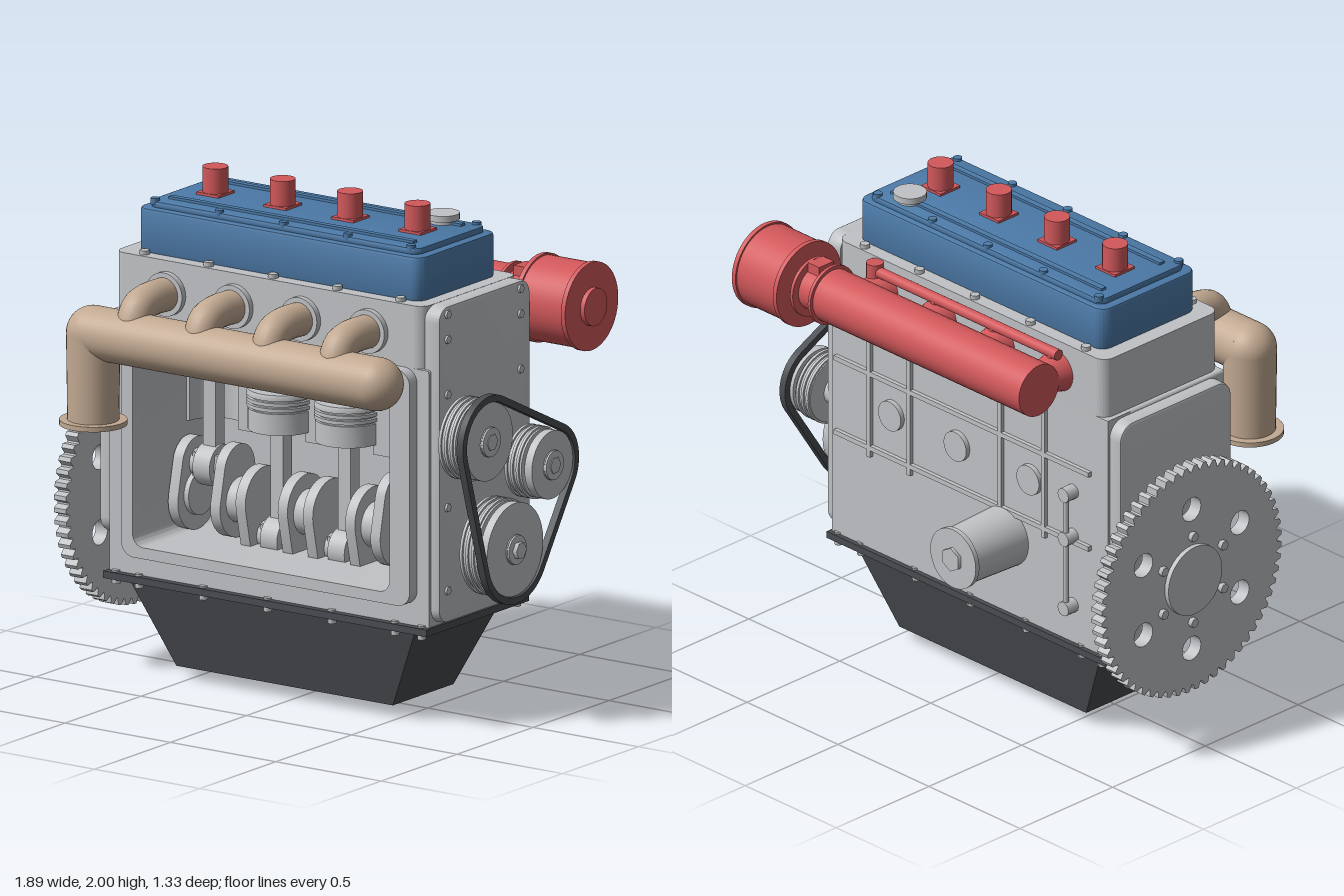
import * as THREE from 'three';
import { toCreasedNormals } from 'three/addons/utils/BufferGeometryUtils.js';

const material = (name, color) => {
  const m = new THREE.MeshStandardMaterial({ color });
  m.name = name;
  return m;
};

export function createModel() {
  const grey = material('cast grey', 0xc0c2c5), blue = material('cover blue', 0x4c7aa8);
  const red = material('intake red', 0xd2585b), tan = material('exhaust tan', 0xc2a992);
  const dark = material('dark steel', 0x494c51);
  const root = new THREE.Group();
  root.name = 'engine';
  const cylX = [-0.515, -0.195, 0.125, 0.445];
  const boltX = [-0.645, -0.34, -0.035, 0.27, 0.57];
  const crankY = 0.695;

  // Helpers
  const add = (name, mat, geo, x = 0, y = 0, z = 0) => {
    const m = new THREE.Mesh(geo, mat);
    m.name = name;
    m.position.set(x, y, z);
    root.add(m);
    return m;
  };
  // Box from min and max corners
  const box = (name, mat, x0, x1, y0, y1, z0, z1) => add(name, mat,
    new THREE.BoxGeometry(x1 - x0, y1 - y0, z1 - z0), (x0 + x1) / 2, (y0 + y1) / 2, (z0 + z1) / 2);
  // Cylinder starting at a point and running h along an axis
  const cyl = (name, mat, axis, r0, r1, h, x, y, z, seg = 32) => {
    const g = new THREE.CylinderGeometry(r1, r0, h, seg);
    g.translate(0, h / 2, 0);
    if (axis === 'x') g.rotateZ(-Math.PI / 2);
    if (axis === 'z') g.rotateX(Math.PI / 2);
    return add(name, mat, g, x, y, z);
  };
  const rounded = (x0, y0, x1, y1, r, S = THREE.Shape) => {
    const s = new S(), q = Math.PI / 2;
    s.absarc(x1 - r, y0 + r, r, -q, 0);
    s.absarc(x1 - r, y1 - r, r, 0, q);
    s.absarc(x0 + r, y1 - r, r, q, 2 * q);
    s.absarc(x0 + r, y0 + r, r, 2 * q, 3 * q);
    s.closePath();
    return s;
  };
  // Outline wrapped round circles [u, v, r] given anticlockwise
  const wrap = (circles, grow = 0, S = THREE.Shape) => {
    const s = new S(), n = circles.length;
    const normal = (a, b) => Math.atan2(b[1] - a[1], b[0] - a[0])
      - Math.acos((a[2] - b[2]) / Math.hypot(b[0] - a[0], b[1] - a[1]));
    circles.forEach((c, i) => s.absarc(c[0], c[1], c[2] + grow,
      normal(circles[(i + n - 1) % n], c), normal(c, circles[(i + 1) % n])));
    s.closePath();
    return s;
  };
  // Extrusion along x (shape is -z, y), y (shape is x, -z) or z
  const extrude = (name, mat, shape, axis, start, depth, bevel = 0) => {
    let g = new THREE.ExtrudeGeometry(shape, { depth: depth - bevel * 2, curveSegments: 10,
      bevelEnabled: bevel > 0, bevelSize: bevel, bevelThickness: bevel, bevelOffset: -bevel, bevelSegments: 2 });
    g.translate(0, 0, start + bevel);
    if (axis === 'x') g.rotateY(Math.PI / 2);
    if (axis === 'y') g.rotateX(-Math.PI / 2);
    return add(name, mat, toCreasedNormals(g, 0.6));
  };

  // Block: open crankcase shell, back wall, raised front frame
  const opening = () => rounded(-0.645, 0.545, 0.575, 1.38, 0.05, THREE.Path);
  const shell = rounded(-0.79, 0.41, 0.725, 1.44, 0.01);
  shell.holes.push(opening());
  extrude('crankcase', grey, shell, 'z', -0.2, 0.505);
  box('crankcaseBack', grey, -0.79, 0.725, 0.41, 1.44, -0.32, -0.2);
  const frame = rounded(-0.7, 0.5, 0.67, 1.44, 0.06);
  frame.holes.push(opening());
  extrude('openingFrame', grey, frame, 'z', 0.3, 0.055);
  extrude('flywheelPlate', grey, rounded(-0.29, 0.55, 0.31, 1.43, 0.07), 'x', -0.85, 0.07, 0.012);
  extrude('timingPlate', grey, rounded(-0.29, 0.43, 0.31, 1.69, 0.06), 'x', 0.69, 0.075, 0.012);
  extrude('cylinderHead', grey, rounded(-0.77, -0.305, 0.7, 0.32, 0.05), 'y', 1.43, 0.26);
  for (const z of [0.24, -0.24]) for (const y of [0.56, 0.89, 1.34, 1.56, 1.66])
    cyl('plateBolt', grey, 'x', 0.017, 0.017, 0.015, 0.76, y, z, 6);

  // Cut-away cylinder bank with half bores
  const bank = new THREE.Shape();
  bank.moveTo(-0.66, 0.21);
  bank.lineTo(-0.66, 0);
  for (const x of cylX) bank.absarc(x, 0, 0.115, Math.PI, 0, true);
  bank.lineTo(0.6, 0);
  bank.lineTo(0.6, 0.21);
  bank.closePath();
  extrude('cylinderBank', grey, bank, 'y', 0.97, 0.42);

  // Crankshaft, rods and pistons
  cyl('mainShaft', grey, 'x', 0.09, 0.09, 0.13, -0.7, crankY, 0);
  cyl('mainShaft', grey, 'x', 0.09, 0.09, 0.13, 0.53, crankY, 0);
  for (let i = 0; i < 3; i++) cyl('mainJournal', grey, 'x', 0.09, 0.09, 0.16, cylX[i] + 0.08, crankY, 0);
  const profile = [[0, 0], [0.13, 0], [0.13, 0.085]];
  for (const y of [0.085, 0.107, 0.129])
    profile.push([0.12, y], [0.12, y + 0.008], [0.134, y + 0.008], [0.134, y + 0.022]);
  profile.push([0.13, 0.16], [0, 0.16]);
  cylX.forEach((x, i) => {
    const up = i === 0 || i === 3, d = up ? 1 : -1, pin = crankY + 0.12 * d, base = up ? 1.245 : 1.01;
    const weight = [0, crankY - 0.02 * d, 0.13], lobe = [0, pin, 0.1];
    for (const s of [-1, 1])
      extrude('crankWeb', grey, wrap([weight, lobe]), 'x', x + s * 0.1 - 0.023, 0.046);
    cyl('crankPin', grey, 'x', 0.055, 0.055, 0.2, x - 0.1, pin, 0);
    cyl('rodBigEnd', grey, 'x', 0.085, 0.085, 0.08, x - 0.04, pin, 0);
    box('rodCap', grey, x - 0.065, x + 0.065, pin - 0.05, pin + 0.05, -0.05, 0.05);
    box('rod', grey, x - 0.03, x + 0.03, pin, base + 0.01, -0.03, 0.03);
    const g = new THREE.LatheGeometry(profile.map(p => new THREE.Vector2(...p)), 32);
    add('piston', grey, toCreasedNormals(g, 0.5), x, base, 0);
  });

  // Oil pan, flange, bolts and drain plug
  const pan = new THREE.BoxGeometry(1.37, 0.35, 0.57).toNonIndexed();
  const p = pan.attributes.position;
  for (let i = 0; i < p.count; i++) if (p.getY(i) < 0) {
    p.setX(i, p.getX(i) * 0.75);
    p.setZ(i, p.getZ(i) * 0.7);
  }
  pan.computeVertexNormals();
  add('oilPan', dark, pan, -0.035, 0.225, 0);
  box('panFlange', dark, -0.8, 0.735, 0.39, 0.418, -0.34, 0.335);
  for (const x of [-0.755, ...boltX, 0.695]) for (const z of [-0.315, 0.31])
    cyl('panBolt', grey, 'y', 0.017, 0.017, 0.055, x, 0.37, z, 6);
  cyl('drainBoss', dark, 'y', 0.04, 0.04, 0.03, -0.34, 0.035, 0, 6);
  cyl('drainPlug', dark, 'y', 0.044, 0.044, 0.04, -0.34, 0, 0, 6);

  // Valve cover with top plate, strips and bolts
  extrude('valveCover', blue, rounded(-0.705, -0.25, 0.645, 0.265, 0.05), 'y', 1.685, 0.18, 0.012);
  extrude('coverPlate', blue, rounded(-0.67, -0.22, 0.61, 0.24, 0.04), 'y', 1.86, 0.03, 0.008);
  for (const z of [-0.17, 0.145]) box('coverStrip', blue, -0.615, 0.545, 1.885, 1.9, z - 0.013, z + 0.013);
  for (const x of boltX) {
    for (const z of [-0.225, 0.205]) cyl('coverBolt', blue, 'y', 0.018, 0.018, 0.025, x, 1.875, z, 12);
    for (const z of [-0.295, 0.275]) cyl('headBolt', grey, 'y', 0.02, 0.02, 0.022, x, 1.685, z, 6);
  }
  cyl('fillerNeck', grey, 'y', 0.05, 0.05, 0.03, 0.45, 1.88, -0.17);
  cyl('fillerCap', grey, 'y', 0.065, 0.065, 0.025, 0.45, 1.905, -0.17);
  for (const x of cylX) {
    box('coilBase', red, x - 0.053, x + 0.053, 1.885, 1.9, -0.063, 0.043);
    cyl('coil', red, 'y', 0.05, 0.05, 0.11, x, 1.89, -0.01);
  }

  // Exhaust manifold
  cyl('exhaustLog', tan, 'x', 0.105, 0.105, 1.345, -0.705, 1.425, 0.53);
  for (const x of [-0.705, 0.64]) add('exhaustEnd', tan, new THREE.SphereGeometry(0.105, 32, 20), x, 1.425, 0.53);
  cyl('downPipe', tan, 'y', 0.1, 0.105, 0.36, -0.705, 1.065, 0.53);
  cyl('downPipeFlange', tan, 'y', 0.132, 0.132, 0.02, -0.705, 1.06, 0.53);
  for (const x of cylX) {
    cyl('exhaustPort', grey, 'z', 0.087, 0.087, 0.035, x, 1.56, 0.295);
    const path = new THREE.CatmullRomCurve3([[1.56, 0.3], [1.56, 0.44], [1.54, 0.5], [1.48, 0.53], [1.4, 0.53]]
      .map(([y, z]) => new THREE.Vector3(x, y, z)));
    add('exhaustRunner', tan, new THREE.TubeGeometry(path, 20, 0.067, 24));
  }

  // Intake tube, runners, fuel rail, throttle and air cleaner
  const iy = 1.56, iz = -0.49;
  cyl('intakeTube', red, 'x', 0.108, 0.108, 1.14, -0.585, iy, iz);
  for (const x of cylX) {
    cyl('intakeRunner', red, 'z', 0.06, 0.085, 0.1, x, iy, -0.415);
    cyl('injector', red, 'y', 0.02, 0.02, 0.08, x, 1.58, -0.35, 12);
  }
  cyl('fuelRail', red, 'x', 0.022, 0.022, 1.02, -0.55, 1.65, -0.35, 16);
  cyl('railEnd', red, 'y', 0.034, 0.034, 0.07, 0.46, 1.615, -0.35, 16);
  cyl('throttleNeck', red, 'x', 0.09, 0.09, 0.15, 0.54, iy, iz);
  for (const x of [0.548, 0.645]) cyl('throttleFlange', red, 'x', 0.122, 0.122, 0.014, x, iy, iz);
  box('throttleSensor', red, 0.583, 0.645, iy + 0.06, iy + 0.12, iz - 0.04, iz + 0.04);
  cyl('airCleaner', red, 'x', 0.168, 0.168, 0.235, 0.68, iy, iz, 48);
  for (const x of [0.68, 0.905]) cyl('airCleanerRim', red, 'x', 0.175, 0.175, 0.02, x, iy, iz, 48);
  cyl('airCleanerCap', red, 'x', 0.075, 0.075, 0.025, 0.92, iy, iz);

  // Pulleys (u = -z, y, radius) and belt
  const pulleys = [[0, crankY, 0.185], [0.245, 0.98, 0.135], [-0.17, 1.16, 0.155]];
  const belt = wrap(pulleys, 0.03);
  belt.holes.push(wrap(pulleys, 0.003, THREE.Path));
  extrude('belt', dark, belt, 'x', 0.893, 0.03);
  pulleys.forEach(([u, y, r], i) => {
    cyl('pulleyShaft', grey, 'x', 0.06, 0.06, 0.18, 0.74, y, -u);
    cyl('pulleyBody', grey, 'x', r, r, 0.08, 0.785, y, -u, 40);
    for (let k = 0; k < 3; k++) cyl('pulleyRib', grey, 'x', r + 0.008, r + 0.008, 0.012, 0.79 + k * 0.027, y, -u, 40);
    cyl('pulleyFace', grey, 'x', r, r, 0.035, 0.88, y, -u, 40);
    cyl('pulleyCore', grey, 'x', r * 0.85, r * 0.85, 0.03, 0.86, y, -u, 40);
    cyl('pulleyHub', grey, 'x', 0.058, 0.058, 0.015, 0.913, y, -u);
    cyl('pulleyBolt', grey, 'x', 0.034, 0.034, i ? 0.01 : 0.024, 0.922, y, -u, 6);
  });

  // Toothed flywheel with lightening holes and hub
  const wheel = new THREE.Shape(), teeth = 60;
  for (let i = 0; i < teeth; i++) [[0, 0.46], [0.25, 0.485], [0.6, 0.485], [0.85, 0.46]].forEach(([t, r], k) => {
    const a = (i + t) / teeth * Math.PI * 2;
    wheel[i + k ? 'lineTo' : 'moveTo'](Math.cos(a) * r, crankY + Math.sin(a) * r);
  });
  wheel.closePath();
  for (let i = 0; i < 6; i++) {
    const a = (i + 0.5) * Math.PI / 3, c = Math.cos(a), s = Math.sin(a);
    wheel.holes.push(new THREE.Path().absarc(c * 0.3, crankY + s * 0.3, 0.05, 0, Math.PI * 2));
    cyl('flywheelBolt', grey, 'x', 0.02, 0.02, 0.025, -0.945, crankY + s * 0.185, -c * 0.185, 6);
  }
  extrude('flywheel', grey, wheel, 'x', -0.925, 0.057);
  cyl('flywheelHub', grey, 'x', 0.145, 0.145, 0.1, -0.945, crankY, 0);
  cyl('flywheelShaft', grey, 'x', 0.12, 0.12, 0.1, -0.88, crankY, 0);

  // Back wall: ribs, core plugs, oil filter, dipstick pipe
  for (const y of [0.86, 1.18]) box('backRib', grey, -0.7, 0.7, y - 0.01, y + 0.01, -0.337, -0.31);
  for (const x of [0.51, 0.29, -0.21, -0.45]) box('backRib', grey, x - 0.01, x + 0.01, 0.82, 1.42, -0.337, -0.31);
  for (const x of [0.39, 0.03, -0.37]) cyl('corePlug', grey, 'z', 0.062, 0.062, 0.03, x, 1.04, -0.34);
  cyl('oilFilter', grey, 'z', 0.115, 0.125, 0.28, -0.23, 0.745, -0.59);
  cyl('oilFilterRim', grey, 'z', 0.125, 0.125, 0.02, -0.23, 0.745, -0.605);
  cyl('oilFilterNut', grey, 'z', 0.05, 0.05, 0.03, -0.23, 0.745, -0.62, 6);
  cyl('dipstickPipe', grey, 'y', 0.012, 0.012, 0.52, -0.6, 0.57, -0.36, 12);
  for (const y of [0.58, 0.88, 1.07]) cyl('dipstickClamp', grey, 'z', 0.03, 0.03, 0.06, -0.6, y, -0.375, 12);

  return root;
}
